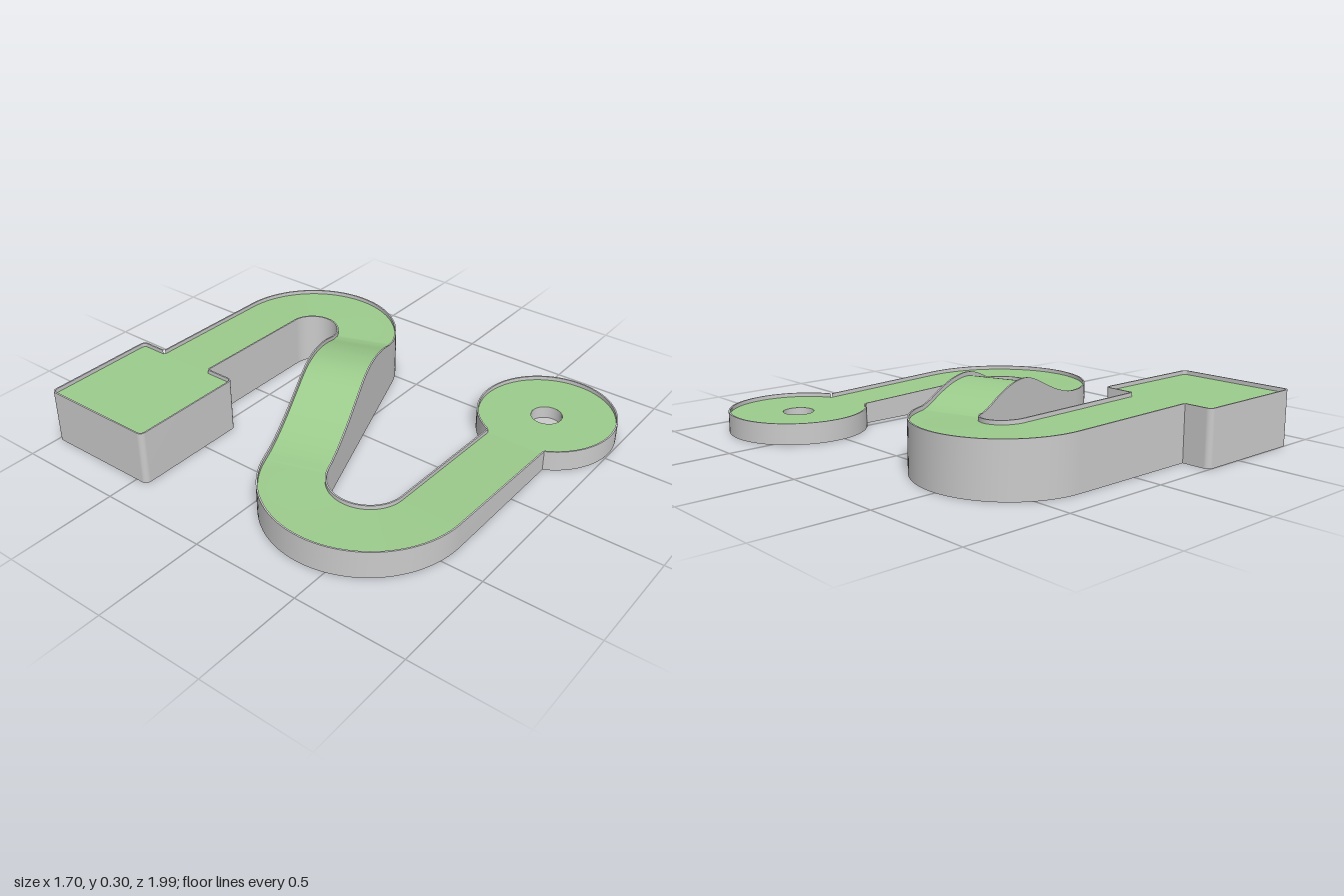
import * as THREE from 'three';

const grey = new THREE.MeshStandardMaterial({ color: 0xcccccc });
const greyInside = new THREE.MeshStandardMaterial({ color: 0xcccccc, side: THREE.BackSide });
const green = new THREE.MeshStandardMaterial({ color: 0x9ccc8c });

const HALF = 0.1425;   // half width of the lane
const RIM = 0.007;     // rim thickness
const DROP = 0.018;    // turf depth below the rim
const rad = THREE.MathUtils.degToRad;
const lerp = THREE.MathUtils.lerp;

function addMesh(parent, name, geometry, material) {
  const mesh = new THREE.Mesh(geometry, material);
  mesh.name = name;
  parent.add(mesh);
}

// strip of quads between two rows of points
function band(a, b) {
  const pos = [], index = [], n = a.length;
  [...a, ...b].forEach((p) => pos.push(p.x, p.y, p.z));
  for (let i = 0; i < n - 1; i++) index.push(i, i + 1, n + i + 1, i, n + i + 1, n + i);
  const g = new THREE.BufferGeometry();
  g.setAttribute('position', new THREE.Float32BufferAttribute(pos, 3));
  g.setIndex(index);
  g.computeVertexNormals();
  return g;
}

const atHeight = (pts, f) => pts.map((p) => new THREE.Vector3(p.x, f(p.y), p.z));

// outer wall, rim and inner lip along an edge whose outside is on the right
function addWall(parent, name, top) {
  const inner = top.map((p, i) => {
    const a = top[Math.max(i - 1, 0)], b = top[Math.min(i + 1, top.length - 1)];
    const d = new THREE.Vector3(b.x - a.x, 0, b.z - a.z).normalize();
    return new THREE.Vector3(p.x + d.z * RIM, p.y, p.z - d.x * RIM);
  });
  addMesh(parent, name + 'Wall', band(atHeight(top, () => 0), top), grey);
  addMesh(parent, name + 'Rim', band(top, inner), grey);
  addMesh(parent, name + 'Lip', band(inner, atHeight(inner, (y) => y - DROP)), grey);
}

// flat-topped pad from an outline, with an optional round hole
function addPad(parent, name, outline, hole) {
  const group = new THREE.Group();
  group.name = name;
  addWall(group, name, outline);
  const top = new THREE.Shape(outline.map((p) => new THREE.Vector2(p.x, -p.z)));
  if (hole) top.holes.push(new THREE.Path().absarc(hole.x, -hole.z, hole.r, 0, Math.PI * 2, true));
  const turf = new THREE.ShapeGeometry(top, 32);
  turf.rotateX(-Math.PI / 2).translate(0, outline[0].y - DROP, 0);
  addMesh(group, name + 'Turf', turf, green);
  const base = new THREE.ShapeGeometry(new THREE.Shape(outline.map((p) => new THREE.Vector2(p.x, p.z))));
  addMesh(group, name + 'Base', base.rotateX(Math.PI / 2), grey);
  parent.add(group);
}

// centre line of the lane as sections: position, height and travel direction
function laneSections() {
  const out = [];
  const add = (x, z, dx, dz, h) => out.push({ p: new THREE.Vector3(x, h, z), n: new THREE.Vector3(-dz, 0, dx) });
  const arc = (cx, cz, r, from, to, h0, h1) => {
    const s = Math.sign(to - from);
    for (let i = 0; i <= 40; i++) {
      const a = rad(lerp(from, to, i / 40));
      add(cx + r * Math.cos(a), cz + r * Math.sin(a), -s * Math.sin(a), s * Math.cos(a), lerp(h0, h1, i / 40));
    }
  };
  // start straight and first bend
  add(-0.3, -0.7275, 1, 0, 0.25);
  arc(0.31, -0.475, 0.2525, -90, 70, 0.243, 0.225);
  // diagonal with the hump
  const from = out[out.length - 1].p;
  const c = Math.cos(rad(70)), s = Math.sin(rad(70));
  const to = { x: -0.39 - 0.3075 * c, z: 0.375 - 0.3075 * s };
  const hump = new THREE.SplineCurve([
    [0, 0.225], [0.06, 0.238], [0.16, 0.27], [0.27, 0.294], [0.38, 0.301], [0.48, 0.285],
    [0.6, 0.242], [0.72, 0.198], [0.84, 0.163], [0.93, 0.146], [1, 0.141],
  ].map(([u, h]) => new THREE.Vector2(u, h)));
  hump.getPoints(50).slice(1, -1).forEach((k) =>
    add(lerp(from.x, to.x, k.x), lerp(from.z, to.z, k.x), -s, c, k.y));
  // second bend and final straight
  arc(-0.39, 0.375, 0.3075, 250, 90, 0.14, 0.118);
  add(0.2595, 0.6825, 1, 0, 0.095);
  return out;
}

export function createModel() {
  const model = new THREE.Group();
  model.name = 'puttingCourse';

  // winding lane
  const lane = new THREE.Group();
  lane.name = 'lane';
  const sections = laneSections();
  const edge = (offset) => sections.map(({ p, n }) => p.clone().addScaledVector(n, offset));
  addWall(lane, 'rightSide', edge(HALF));
  addWall(lane, 'leftSide', edge(-HALF).reverse());
  const sink = (y) => y - DROP;
  const w = HALF - RIM;
  addMesh(lane, 'laneTurf', band(atHeight(edge(w), sink), atHeight(edge(-w), sink)), green);
  addMesh(lane, 'laneBase', band(atHeight(edge(-HALF), () => 0), atHeight(edge(HALF), () => 0)), grey);
  model.add(lane);

  // square tee pad with rounded corners, open towards the lane
  const x0 = -0.85, x1 = -0.3, z0 = -1, z1 = -0.44, r = 0.025, h = 0.25;
  const tee = [new THREE.Vector3(x1, h, -0.87)];
  [[x1 - r, z0 + r, 0], [x0 + r, z0 + r, -90], [x0 + r, z1 - r, -180], [x1 - r, z1 - r, -270]].forEach(([x, z, a0]) => {
    for (let i = 0; i <= 6; i++) {
      const a = rad(a0 - i * 15);
      tee.push(new THREE.Vector3(x + r * Math.cos(a), h, z + r * Math.sin(a)));
    }
  });
  tee.push(new THREE.Vector3(x1, h, -0.585));
  addPad(model, 'teePad', tee);

  // round green, open towards the lane
  const cx = 0.5375, cz = 0.6825, R = 0.3125, top = 0.095;
  const sweep = Math.PI - Math.asin(HALF / R);
  const round = [];
  for (let i = 0; i <= 72; i++) {
    const a = lerp(sweep, -sweep, i / 72);
    round.push(new THREE.Vector3(cx + R * Math.cos(a), top, cz + R * Math.sin(a)));
  }
  addPad(model, 'roundGreen', round, { x: cx, z: cz, r: 0.07 });

  // sunken cup
  const floor = 0.02, depth = top - DROP - floor;
  const cup = new THREE.CylinderGeometry(0.07, 0.07, depth, 48, 1, true);
  addMesh(model, 'cupWall', cup.translate(cx, floor + depth / 2, cz), greyInside);
  const cupFloor = new THREE.CircleGeometry(0.07, 48);
  addMesh(model, 'cupFloor', cupFloor.rotateX(-Math.PI / 2).translate(cx, floor, cz), grey);

  return model;
}
